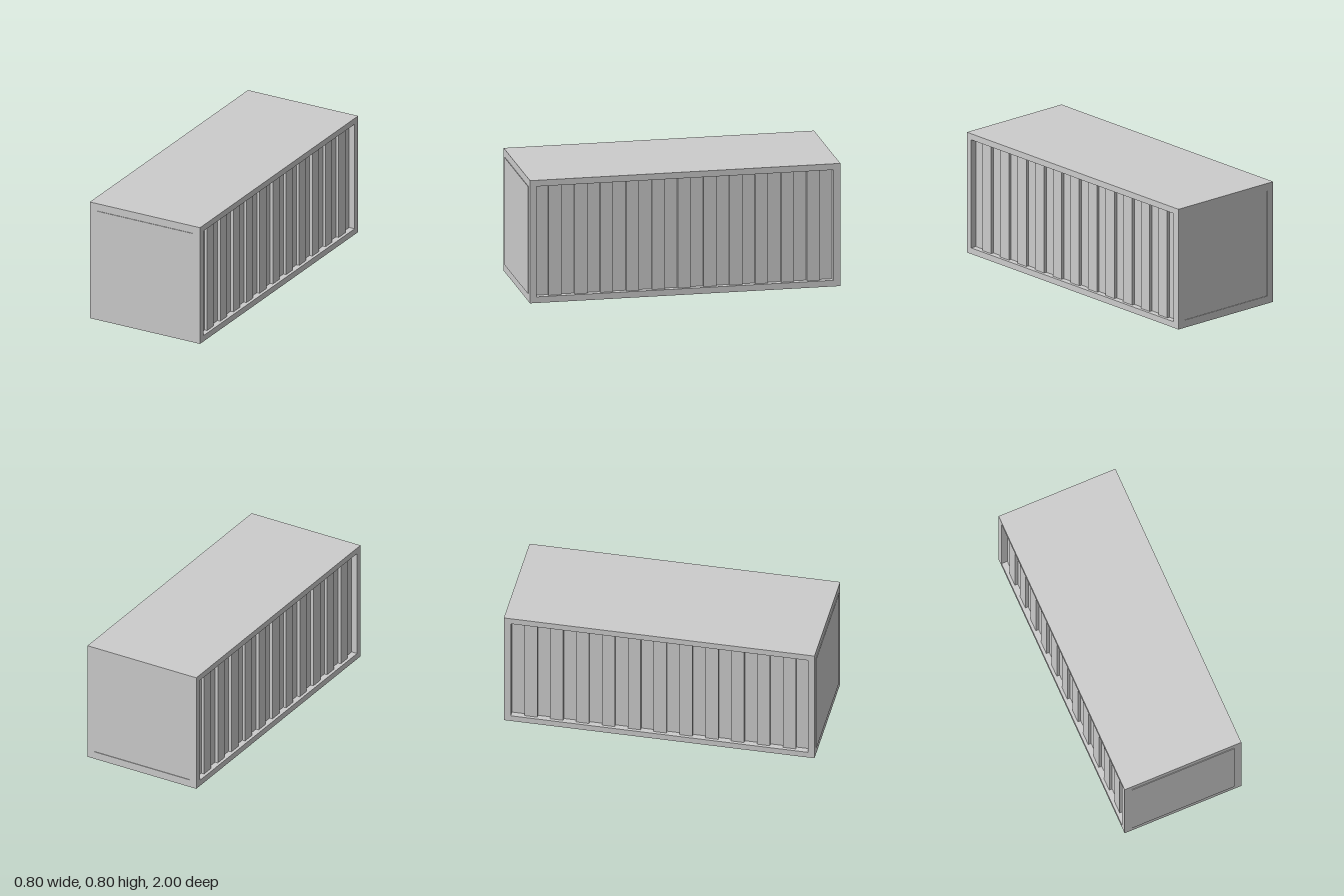
import * as THREE from 'three';

const H = 0.8, HALF_W = 0.4, DEPTH = 0.04, LIP = 0.004;
const OPEN_Z = 0.955, OPEN_Y = 0.04;        // side opening: half length, border height
const RIB_SLOTS = 23;                       // alternating grooves and ribs

const material = new THREE.MeshStandardMaterial({ color: 0xcccccc, flatShading: true });

function add(parent, name, geometry, x = 0, y = 0, z = 0) {
  const mesh = new THREE.Mesh(geometry, material);
  mesh.name = name;
  mesh.position.set(x, y, z);
  parent.add(mesh);
  return mesh;
}

// Counter-clockwise rectangle path
function rect(path, x0, y0, x1, y1) {
  path.moveTo(x0, y0);
  path.lineTo(x1, y0);
  path.lineTo(x1, y1);
  path.lineTo(x0, y1);
  path.closePath();
  return path;
}

// Rectangular frame in the xy plane, extruded along +z
function frameGeometry(halfOuter, halfInner, border, depth) {
  const shape = rect(new THREE.Shape(), -halfOuter, 0, halfOuter, H);
  shape.holes.push(rect(new THREE.Path(), -halfInner, border, halfInner, H - border));
  return new THREE.ExtrudeGeometry(shape, { depth, bevelEnabled: false });
}

// One long wall: outer frame with recessed square ribs, facing +x
function sideWall(name) {
  const wall = new THREE.Group();
  wall.name = name;
  const frame = frameGeometry(1 - LIP, OPEN_Z, OPEN_Y, DEPTH);
  frame.rotateY(Math.PI / 2);
  add(wall, 'sideFrame', frame, HALF_W - DEPTH);

  const pitch = 2 * OPEN_Z / RIB_SLOTS;
  const rib = new THREE.BoxGeometry(DEPTH / 2, H - 2 * OPEN_Y, pitch);
  for (let i = 1; i < RIB_SLOTS; i += 2) {
    add(wall, 'wallRib', rib, HALF_W - DEPTH * 0.75, H / 2, OPEN_Z - (i + 0.5) * pitch);
  }
  return wall;
}

export function createModel() {
  const group = new THREE.Group();
  group.name = 'cargoContainer';

  // Solid core; its sides are the groove floors
  add(group, 'body', new THREE.BoxGeometry(2 * (HALF_W - DEPTH), H, 2 * (1 - LIP)), 0, H / 2, 0);

  // Corrugated long walls
  const left = sideWall('leftWall');
  const right = sideWall('rightWall');
  right.rotation.y = Math.PI;
  group.add(left, right);

  // Slightly raised front panel and slightly sunken back panel
  add(group, 'frontPanel', new THREE.BoxGeometry(0.7, 0.7, LIP), 0, H / 2, 1 - LIP / 2);
  add(group, 'backFrame', frameGeometry(HALF_W, 0.35, 0.05, LIP), 0, 0, -1);

  return group;
}
